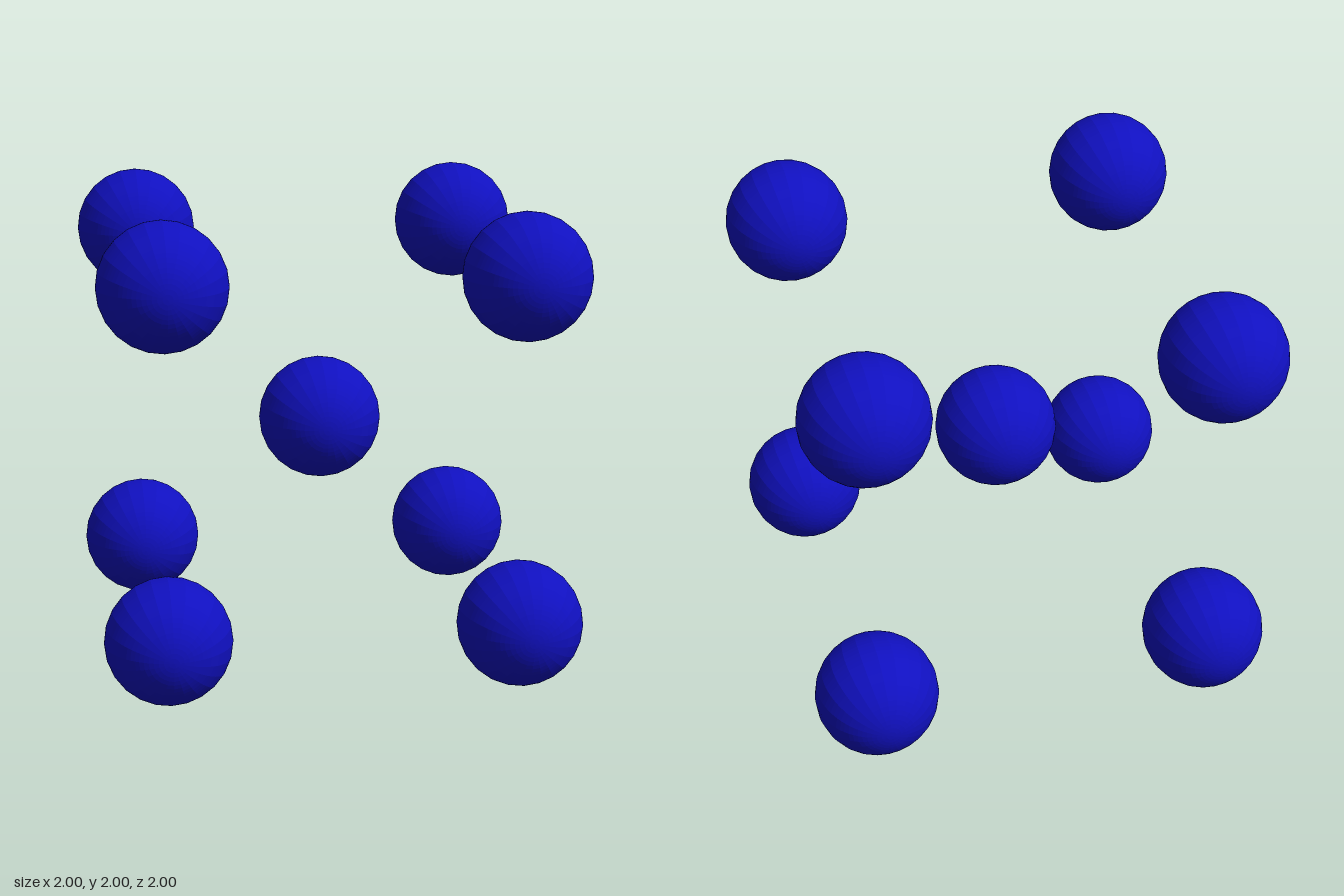
import * as THREE from 'three';

// Body-centred cubic cell: eight corner balls and one in the middle.
export function createModel() {
  const group = new THREE.Group();
  group.name = 'cubicCell';

  const radius = 0.264;
  const offset = 1 - radius;
  const material = new THREE.MeshStandardMaterial({ color: 0x1010c0, flatShading: true });

  // Ball with its poles along z
  const ball = new THREE.SphereGeometry(radius, 24, 40);
  ball.rotateX(Math.PI / 2);

  const addBall = (name, x, y, z) => {
    const mesh = new THREE.Mesh(ball, material);
    mesh.name = name;
    mesh.position.set(x, y, z);
    group.add(mesh);
  };

  addBall('centreBall', 0, 1, 0);

  // Corner balls
  for (const x of [-1, 1])
    for (const y of [-1, 1])
      for (const z of [-1, 1]) {
        const name = (y > 0 ? 'upper' : 'lower') + (z > 0 ? 'Front' : 'Back') + (x > 0 ? 'Left' : 'Right') + 'Ball';
        addBall(name, x * offset, 1 + y * offset, z * offset);
      }

  return group;
}
